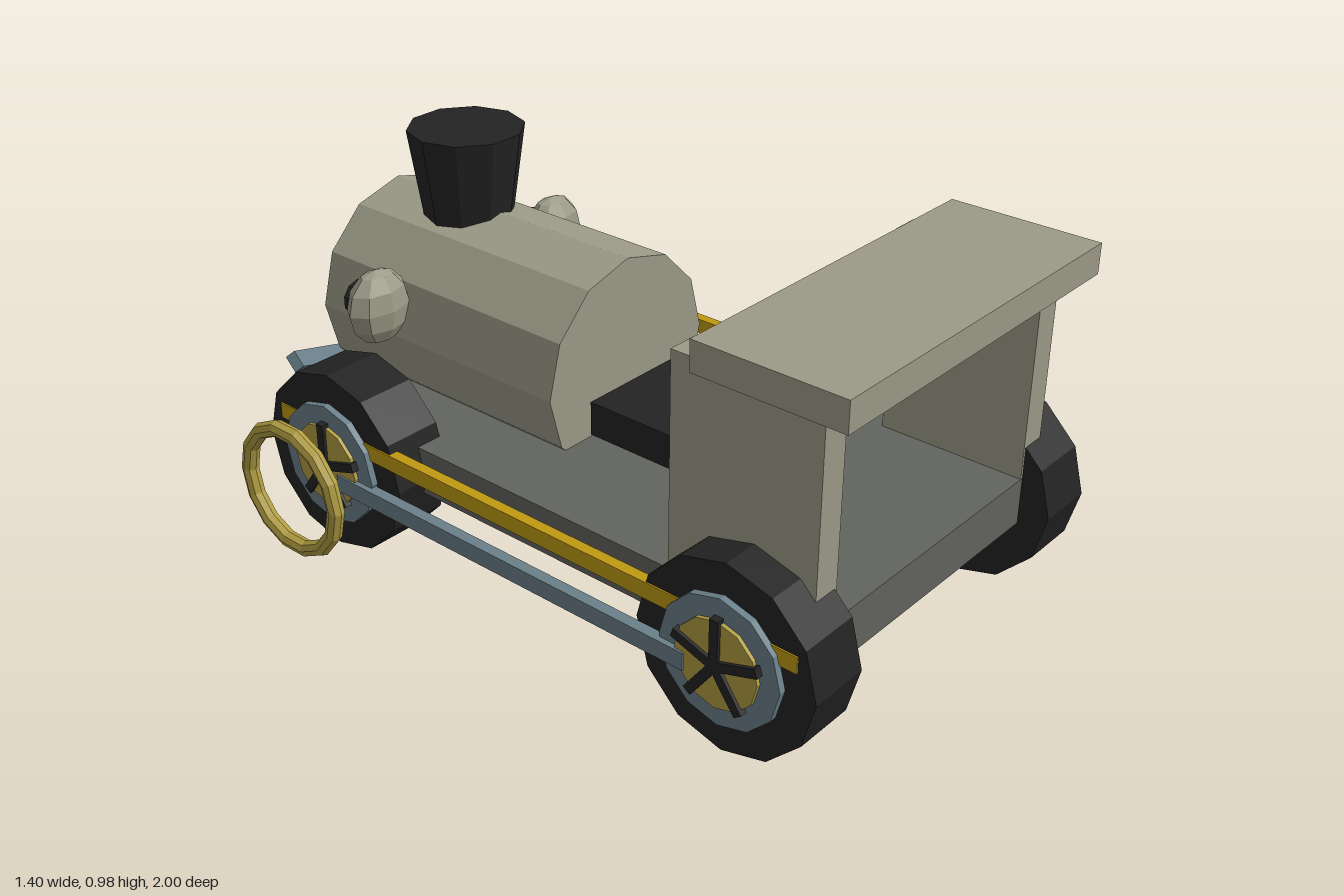
import * as THREE from 'three';

const mat = (name, color) => {
  const m = new THREE.MeshStandardMaterial({ color, flatShading: true });
  m.name = name;
  return m;
};

export function createModel() {
  const body = mat('stone grey', 0x9c9b88);
  const frame = mat('dark grey', 0x62645f);
  const black = mat('black', 0x232323);
  const steel = mat('steel blue', 0x6a808a);
  const brass = mat('brass', 0xb09d42);
  const gold = mat('gold', 0xc09a12);

  const model = new THREE.Group();
  const add = (name, geo, material, x = 0, y = 0, z = 0, parent = model) => {
    const m = new THREE.Mesh(geo, material);
    m.name = name;
    m.position.set(x, y, z);
    parent.add(m);
    return m;
  };
  // Box given by its limits on each axis
  const block = (name, material, x0, x1, y0, y1, z0, z1, parent = model) =>
    add(name, new THREE.BoxGeometry(x1 - x0, y1 - y0, z1 - z0), material,
      (x0 + x1) / 2, (y0 + y1) / 2, (z0 + z1) / 2, parent);
  // Cylinder lying along z or x
  const drumZ = (r, length, sides) => new THREE.CylinderGeometry(r, r, length, sides).rotateX(Math.PI / 2);
  const drumX = (r, length, sides) => new THREE.CylinderGeometry(r, r, length, sides).rotateZ(Math.PI / 2);

  // Chassis and boiler
  block('chassis', frame, -0.465, 0.465, 0.203, 0.33, -0.72, 0.92);
  add('boiler', drumZ(0.286, 0.83, 12), body, 0, 0.486, -0.415);
  add('boilerDoor', drumZ(0.228, 0.06, 12), steel, 0, 0.486, -0.842);
  add('chimney', new THREE.CylinderGeometry(0.155, 0.118, 0.25, 10).rotateY(Math.PI / 2),
    black, 0, 0.855, -0.555);

  // Seat with a forward-leaning back
  block('seatBase', black, -0.195, 0.195, 0.377, 0.468, 0.05, 0.446);
  const back = new THREE.Group();
  back.name = 'seatBack';
  back.position.set(0, 0.537, 0.441);
  back.rotation.x = -0.115;
  model.add(back);
  block('backRest', black, -0.195, 0.195, -0.12, 0.12, -0.035, 0.035, back);
  block('backPanel', frame, -0.15, 0.15, -0.09, 0.1, -0.05, -0.035, back);

  // Cab roof
  block('roof', body, -0.495, 0.495, 0.859, 0.937, 0.6, 0.997);

  const wheel = (s, z) => {
    const g = new THREE.Group();
    g.name = z > 0 ? 'rearWheel' : 'frontWheel';
    g.position.set(0, 0.245, z);
    model.add(g);
    add('tyre', drumX(0.245, 0.163, 12), black, s * 0.4735, 0, 0, g);
    add('rim', drumX(0.165, 0.06, 12), steel, s * 0.543, 0, 0, g);
    add('hubDisc', drumX(0.113, 0.06, 12), brass, s * 0.553, 0, 0, g);
    for (let i = 0; i < 5; i++) {
      const spoke = add('spoke', new THREE.BoxGeometry(0.03, 0.12, 0.024).translate(0, 0.06, 0),
        black, s * 0.577, 0, 0, g);
      spoke.rotation.x = (i * Math.PI * 2) / 5;
    }
  };

  for (const s of [1, -1]) {
    const sided = (name, material, x0, x1, ...rest) =>
      block(name, material, Math.min(s * x0, s * x1), Math.max(s * x0, s * x1), ...rest);

    // Cab side, running trim and coupling rod
    sided('cabSide', body, 0.385, 0.459, 0.33, 0.874, 0.52, 0.92);
    sided('sideTrim', gold, 0.53, 0.559, 0.303, 0.346, -0.7, 0.95);
    sided('couplingRod', steel, 0.558, 0.588, 0.19, 0.236, -0.46, 0.67);
    wheel(s, -0.508);
    wheel(s, 0.756);

    // Floating ring beside the front wheel
    add('sideRing', new THREE.TorusGeometry(0.166, 0.022, 8, 14).rotateY(Math.PI / 2),
      brass, s * 0.68, 0.212, -0.525);

    // Headlamp with dark lens
    add('headlamp', new THREE.SphereGeometry(1, 8, 6).scale(0.097, 0.102, 0.06),
      body, s * 0.325, 0.582, -0.564);
    add('lens', drumZ(0.05, 0.05, 10), black, s * 0.32, 0.58, -0.622);

    // Half of the V-shaped bumper, tilted down to its point
    const a = new THREE.Vector3(s * 0.435, 0.388, -0.785);
    const b = new THREE.Vector3(0, 0.202, -0.971);
    const bar = add('bumperBar', new THREE.BoxGeometry(0.03, 0.048, a.distanceTo(b) + 0.01), steel);
    bar.up.set(0, 1, -1).normalize();
    bar.position.copy(a).add(b).multiplyScalar(0.5);
    bar.lookAt(b);
  }
  return model;
}
